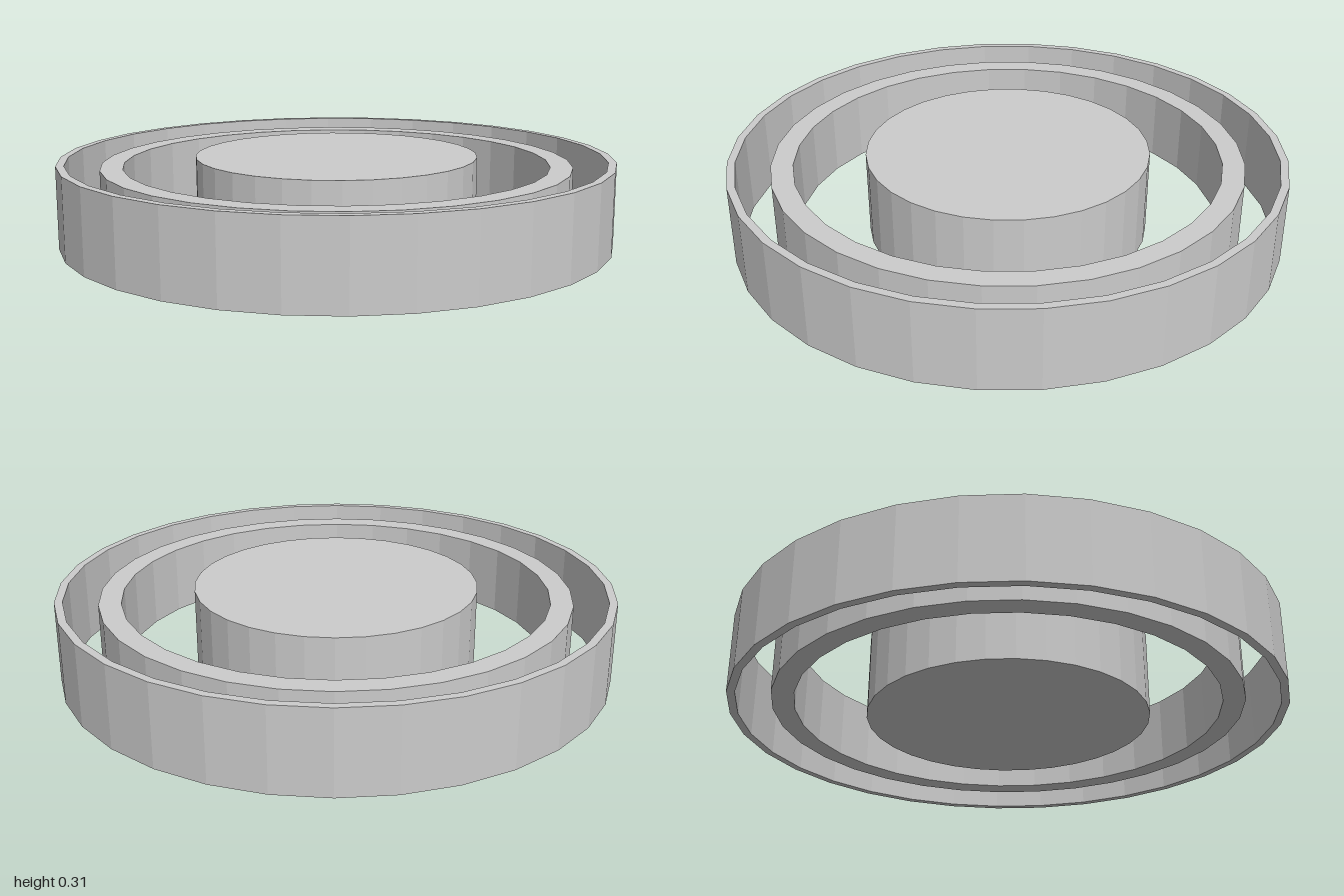
import * as THREE from 'three';

const SIDES = 32;
const material = new THREE.MeshStandardMaterial({ color: 0xcccccc, flatShading: true });

// Straight-walled ring: a closed rectangular section turned about y
function makeRing(name, inner, outer, bottom, top) {
  const section = [
    [inner, bottom], [outer, bottom], [outer, top], [inner, top], [inner, bottom],
  ].map(([r, y]) => new THREE.Vector2(r, y));
  const mesh = new THREE.Mesh(new THREE.LatheGeometry(section, SIDES), material);
  mesh.name = name;
  return mesh;
}

export function createModel() {
  const group = new THREE.Group();
  group.name = 'concentricRings';

  // Solid centre, slightly taller than the rings
  const height = 0.307;
  const core = new THREE.Mesh(new THREE.CylinderGeometry(0.511, 0.511, height, SIDES), material);
  core.name = 'centreDisc';
  core.position.y = height / 2;
  group.add(core);

  // Thick middle ring, recessed above and below
  group.add(makeRing('middleRing', 0.77, 0.85, 0.028, 0.28));

  // Thin outer ring
  group.add(makeRing('outerRing', 0.971, 1, 0.006, 0.302));

  return group;
}
